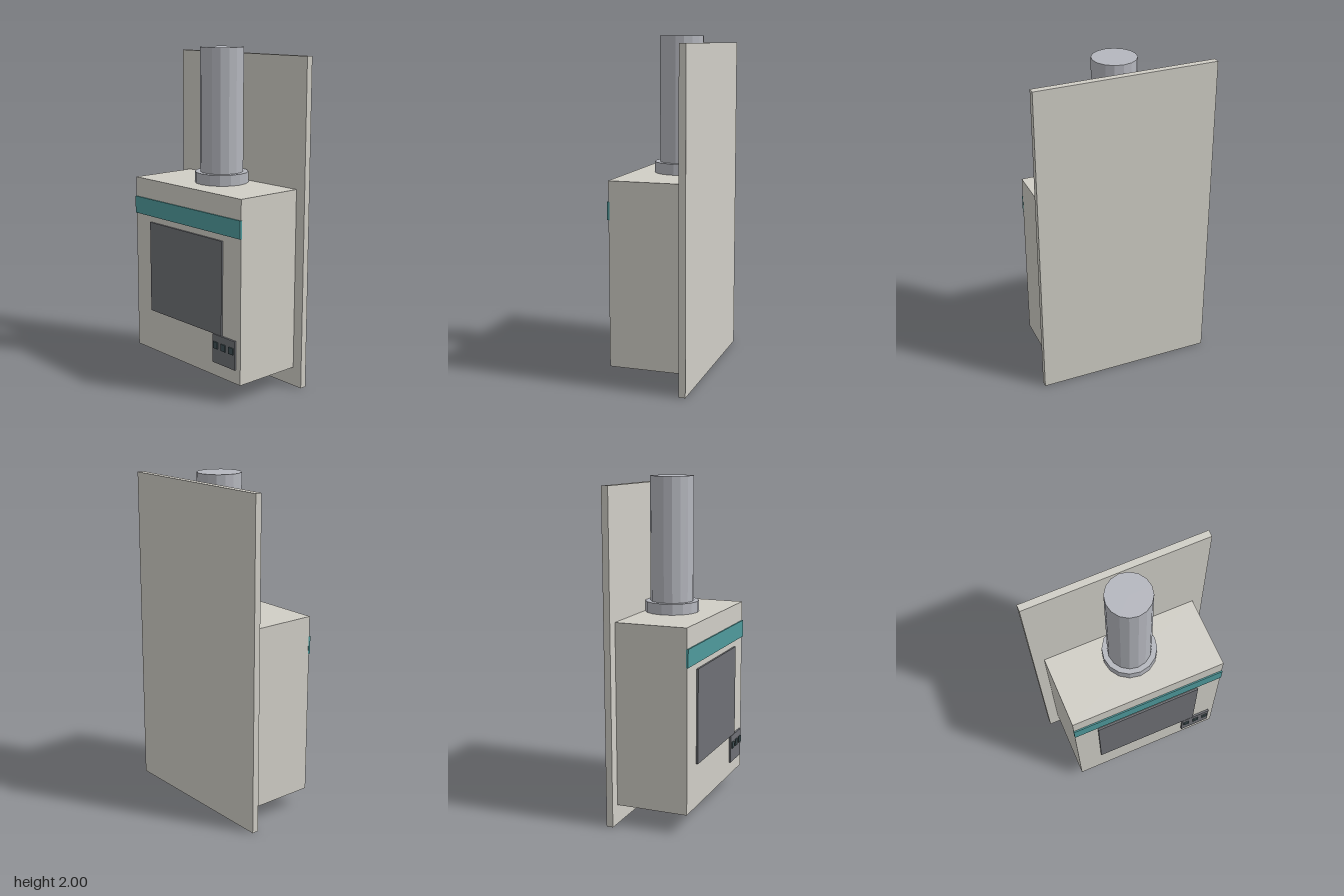
import * as THREE from 'three';

const mat = (color) => new THREE.MeshStandardMaterial({ color, flatShading: true });

export function createModel() {
  const model = new THREE.Group();
  model.name = 'wallBoiler';

  const casing = mat(0xd0cec6);
  const metal = mat(0xb5b7be);
  const teal = mat(0x4f9a9c);
  const dark = mat(0x6e7075);
  const buttonMat = mat(0x3f5054);

  // Box given by its extents on each axis
  const box = (name, [x0, x1], [y0, y1], [z0, z1], material) => {
    const mesh = new THREE.Mesh(new THREE.BoxGeometry(x1 - x0, y1 - y0, z1 - z0), material);
    mesh.position.set((x0 + x1) / 2, (y0 + y1) / 2, (z0 + z1) / 2);
    mesh.name = name;
    model.add(mesh);
  };

  // Upright sixteen-sided cylinder on the flue axis
  const flue = (name, radius, y0, y1) => {
    const mesh = new THREE.Mesh(new THREE.CylinderGeometry(radius, radius, y1 - y0, 16), metal);
    mesh.position.set(0, (y0 + y1) / 2, -0.055);
    mesh.name = name;
    model.add(mesh);
  };

  // Wall panel and main casing
  box('wallPanel', [-0.54, 0.54], [0, 1.96], [-0.247, -0.207], casing);
  box('casing', [-0.475, 0.475], [0.115, 1.2], [-0.207, 0.228], casing);

  // Front trim, door panel and control panel
  box('trimStrip', [-0.476, 0.476], [0.975, 1.08], [0.222, 0.236], teal);
  box('frontPanel', [-0.328, 0.325], [0.375, 0.938], [0.22, 0.239], dark);
  box('controlPanel', [0.25, 0.44], [0.2, 0.373], [0.22, 0.24], dark);
  for (const x of [0.28, 0.346, 0.411]) {
    box('button', [x - 0.018, x + 0.018], [0.29, 0.33], [0.23, 0.247], buttonMat);
  }

  // Flue collar and pipe
  flue('flueCollar', 0.161, 1.19, 1.265);
  flue('fluePipe', 0.129, 1.2, 2);

  return model;
}
